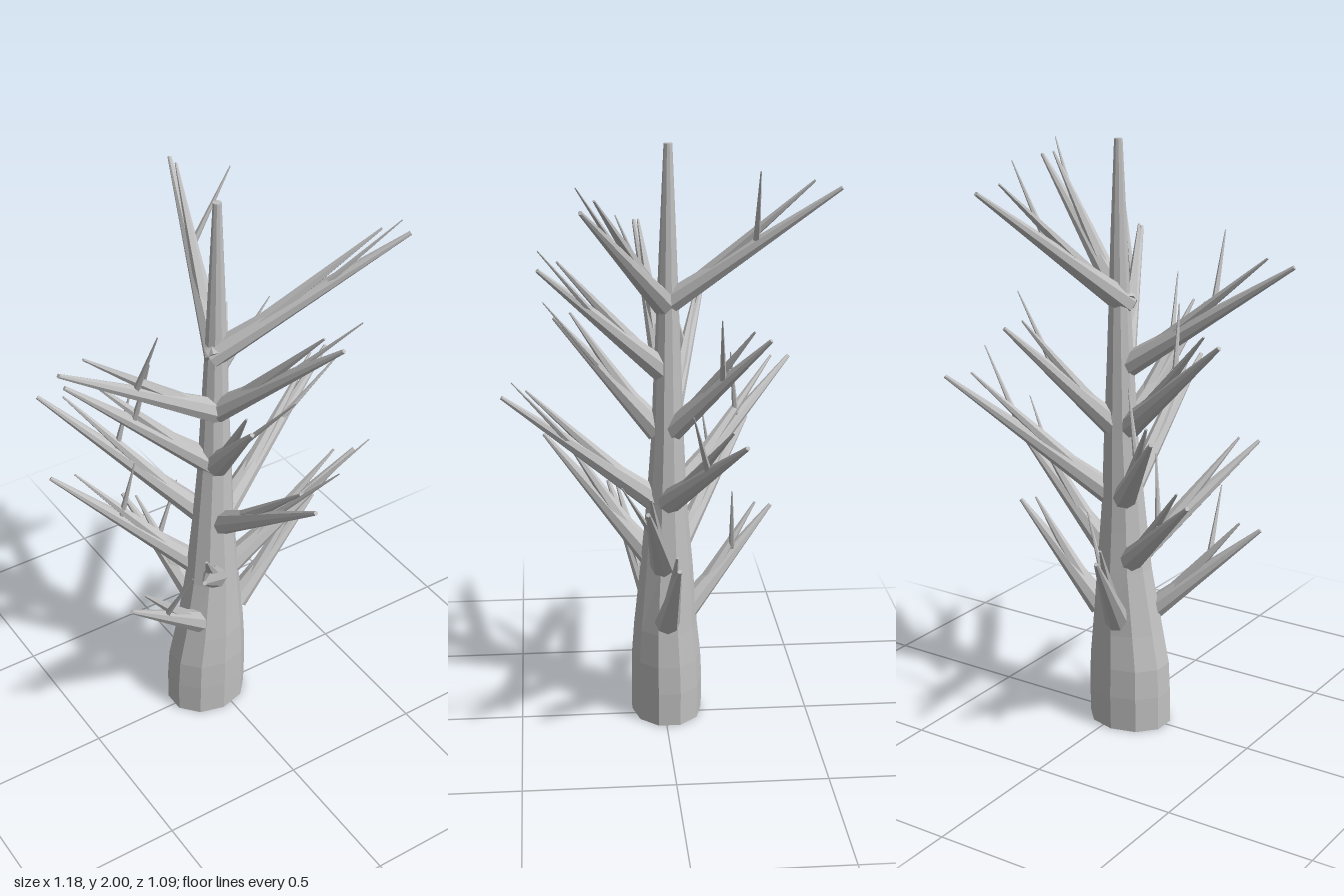
import * as THREE from 'three';

export function createModel() {
  const model = new THREE.Group();
  const bark = new THREE.MeshStandardMaterial({ color: 0xc0c0c0, flatShading: true });
  bark.name = 'greyBark';
  const V = (x, y, z) => new THREE.Vector3(x, y, z);
  const up = V(0, 1, 0);

  // Tapered spike from one point to another
  function spike(name, from, to, r0, r1, sides) {
    const dir = to.clone().sub(from);
    const mesh = new THREE.Mesh(new THREE.CylinderGeometry(r1, r0, dir.length(), sides), bark);
    mesh.name = name;
    mesh.position.copy(from).add(to).multiplyScalar(0.5);
    mesh.quaternion.setFromUnitVectors(up, dir.normalize());
    return mesh;
  }

  // Trunk rings: height, centre x, centre z, radius x, radius z
  const rings = [
    [0, -0.038, -0.01, 0.147, 0.122],
    [0.12, -0.036, -0.01, 0.148, 0.123],
    [0.22, -0.034, -0.008, 0.144, 0.12],
    [0.34, -0.025, -0.005, 0.127, 0.109],
    [0.56, -0.013, -0.008, 0.097, 0.09],
    [0.7, -0.01, -0.008, 0.084, 0.077],
    [0.8, -0.008, -0.008, 0.075, 0.068],
    [1.02, 0, -0.01, 0.06, 0.055],
    [1.25, 0.002, -0.01, 0.048, 0.046],
    [1.46, 0.005, -0.01, 0.038, 0.037],
    [1.7, 0.008, -0.01, 0.028, 0.027],
    [2, 0.01, -0.01, 0.014, 0.014],
  ];
  const trunkGeometry = new THREE.CylinderGeometry(1, 1, 1, 10, rings.length - 1);
  const p = trunkGeometry.attributes.position;
  for (let i = 0; i < p.count; i++) {
    const k = Math.round((p.getY(i) + 0.5) * (rings.length - 1));
    const [y, cx, cz, rx, rz] = rings[k];
    p.setXYZ(i, cx + p.getX(i) * rx, y, cz + p.getZ(i) * rz);
  }
  trunkGeometry.computeVertexNormals();
  const trunk = new THREE.Mesh(trunkGeometry, bark);
  trunk.name = 'trunk';
  model.add(trunk);

  // Tiers: base height, base distance from the axis, tip height,
  // branch tips [x, z, bare] where bare branches carry no twig
  const tiers = [
    [0.385, 0.085, 0.715, [[0.418, -0.015, true], [-0.437, 0.171], [-0.15, -0.382]]],
    [0.585, 0.055, 0.945, [[0.508, 0.09], [-0.3, 0.4, true], [-0.452, -0.33]]],
    [0.805, 0.035, 1.18, [[0.588, -0.203], [0.017, 0.537], [-0.41, -0.473]]],
    [1.045, 0.02, 1.415, [[0.243, -0.318], [-0.103, 0.36], [-0.459, -0.165]]],
    [1.25, 0, 1.64, [[-0.589, 0.063], [0.19, 0.41]]],
    [1.465, -0.015, 1.88, [[0.52, 0.283], [0.167, -0.54]]],
  ];
  for (const [y0, r0, y1, tips] of tiers) {
    for (const [x, z, bare] of tips) {
      const branch = new THREE.Group();
      branch.name = 'branch';
      const out = V(x, 0, z).normalize();
      const base = V(out.x * r0, y0, out.z * r0);
      const tip = V(x, y1, z);
      branch.add(spike('mainSpike', base, tip, 0.043, 0.007, 8));

      // Companion spike forking upward from the main one
      const fork = base.clone().lerp(tip, 0.15);
      branch.add(spike('forkSpike', fork, V(x * 0.85, y1 + 0.02, z * 0.85), 0.029, 0.004, 6));

      // Thin twig rising steeply from the middle of the branch
      if (!bare) {
        const start = base.clone().lerp(tip, 0.54);
        const end = start.clone().addScaledVector(out, 0.095).add(V(0.115, 0.255, 0.1));
        branch.add(spike('twig', start, end, 0.012, 0.002, 6));
      }
      model.add(branch);
    }
  }
  return model;
}
